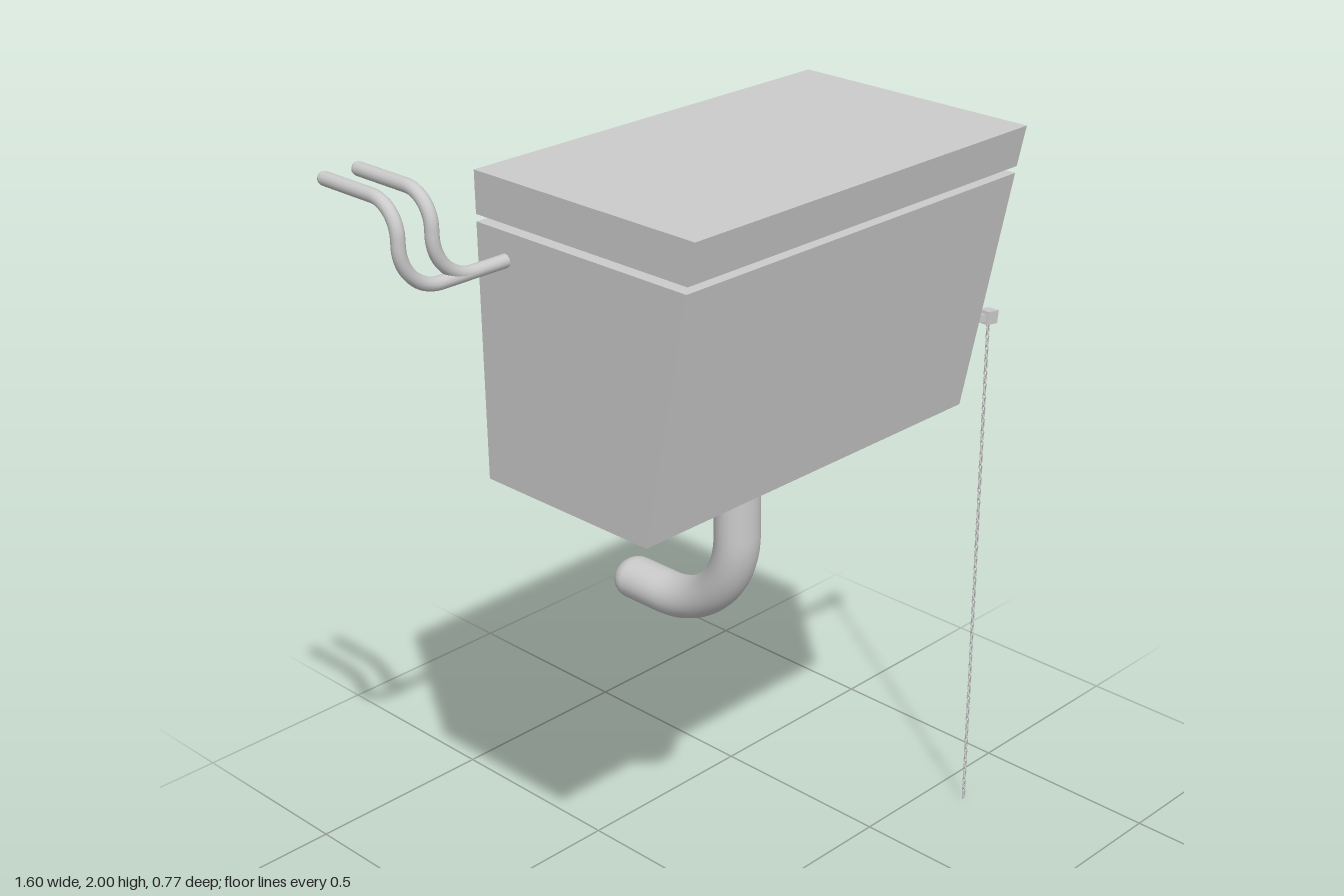
import * as THREE from 'three';

const V = (x, y, z) => new THREE.Vector3(x, y, z);

export function createModel() {
  const model = new THREE.Group();
  const grey = new THREE.MeshStandardMaterial({ color: 0xcccccc });

  function add(name, geometry, parent = model) {
    const mesh = new THREE.Mesh(geometry, grey);
    mesh.name = name;
    parent.add(mesh);
    return mesh;
  }

  // Slab with a side profile of [z, y] corners, running from x0 to x1
  function slab(name, corners, x0, x1) {
    const shape = new THREE.Shape(corners.map(([z, y]) => new THREE.Vector2(z, y)));
    const g = new THREE.ExtrudeGeometry(shape, { depth: x1 - x0, bevelEnabled: false });
    g.rotateY(-Math.PI / 2);
    g.translate(x1, 0, 0);
    return add(name, g);
  }

  // Path through corner points, each inner corner rounded by its bend radius
  function bentPath(points, radii) {
    const path = new THREE.CurvePath();
    let from = points[0];
    for (let i = 1; i < points.length - 1; i++) {
      const p = points[i], r = radii[i - 1];
      const dirIn = points[i - 1].clone().sub(p).normalize();
      const dirOut = points[i + 1].clone().sub(p).normalize();
      const a = p.clone().addScaledVector(dirIn, r);
      const b = p.clone().addScaledVector(dirOut, r);
      path.add(new THREE.LineCurve3(from, a));
      path.add(new THREE.CubicBezierCurve3(a,
        p.clone().addScaledVector(dirIn, r * 0.45),
        p.clone().addScaledVector(dirOut, r * 0.45), b));
      from = b;
    }
    path.add(new THREE.LineCurve3(from, points[points.length - 1]));
    return path;
  }

  // Round pipe with a domed far end
  function pipe(name, points, radii, radius, segments, sides) {
    const group = new THREE.Group();
    group.name = name;
    add(name + 'Tube', new THREE.TubeGeometry(bentPath(points, radii), segments, radius, sides), group);
    const end = add(name + 'End', new THREE.SphereGeometry(radius, sides, 12), group);
    end.position.copy(points[points.length - 1]);
    model.add(group);
    return group;
  }

  // Tank, recessed neck and lid, with the front leaning outwards
  const back = -0.24, left = 0.487, right = -0.52;
  slab('tank', [[back, 1.28], [0.24, 1.28], [0.362, 1.86], [back, 1.86]], right, left);
  slab('neck', [[back + 0.025, 1.85], [0.335, 1.85], [0.338, 1.885], [back + 0.025, 1.885]], right + 0.03, left - 0.03);
  slab('lid', [[back, 1.876], [0.365, 1.876], [0.386, 1.97], [back, 1.97]], right, left);

  // Flush pipe bending to the back, slightly wider than deep
  const flush = pipe('flushPipe',
    [V(0, 1.3, 0.015), V(0, 0.82, 0.015), V(0, 0.82, -0.317)], [0.23], 0.05, 60, 24);
  flush.scale.x = 1.15;
  flush.position.x = -0.017;

  // Two supply pipes sharing a run, rising and then turning to the back
  for (const [name, x] of [['innerSupplyPipe', -0.705], ['outerSupplyPipe', -0.79]]) {
    pipe(name,
      [V(right + 0.02, 1.797, -0.155), V(x, 1.797, -0.155), V(x, 1.985, -0.155), V(x, 1.985, -0.374)],
      [0.1, 0.07], 0.015, 80, 12);
  }

  // Flush lever: tapered square arm between two blocks
  const lever = new THREE.Group();
  lever.name = 'lever';
  model.add(lever);
  const start = V(0.5, 1.419, 0.108), tip = V(0.776, 1.373, 0.09);
  const dir = tip.clone().sub(start);
  const armGeo = new THREE.CylinderGeometry(0.012, 0.017, dir.length(), 4, 1).toNonIndexed();
  armGeo.rotateY(Math.PI / 4);
  armGeo.computeVertexNormals();
  const arm = add('leverArm', armGeo, lever);
  arm.position.copy(start).add(tip).multiplyScalar(0.5);
  arm.quaternion.setFromUnitVectors(V(0, 1, 0), dir.clone().normalize());
  const base = add('leverBase', new THREE.BoxGeometry(0.045, 0.036, 0.036), lever);
  base.position.set(0.505, 1.417, 0.108);
  const tipBlock = add('leverTip', new THREE.BoxGeometry(0.04, 0.032, 0.03), lever);
  tipBlock.position.copy(tip);
  base.rotation.z = tipBlock.rotation.z = -0.16;

  // Pull chain of long links, turned a quarter each time
  const chain = new THREE.Group();
  chain.name = 'pullChain';
  chain.position.set(0.775, 0, 0.092);
  model.add(chain);
  const count = 86, top = 1.364, half = 0.0105;
  const link = new THREE.TorusGeometry(0.0042, 0.0017, 5, 10);
  link.scale(1, half / 0.0059, 1);
  for (let i = 0; i < count; i++) {
    const mesh = add('chainLink', link, chain);
    mesh.position.y = half + (top - 2 * half) * i / (count - 1);
    mesh.rotation.y = (i % 2) * Math.PI / 2;
  }
  return model;
}
